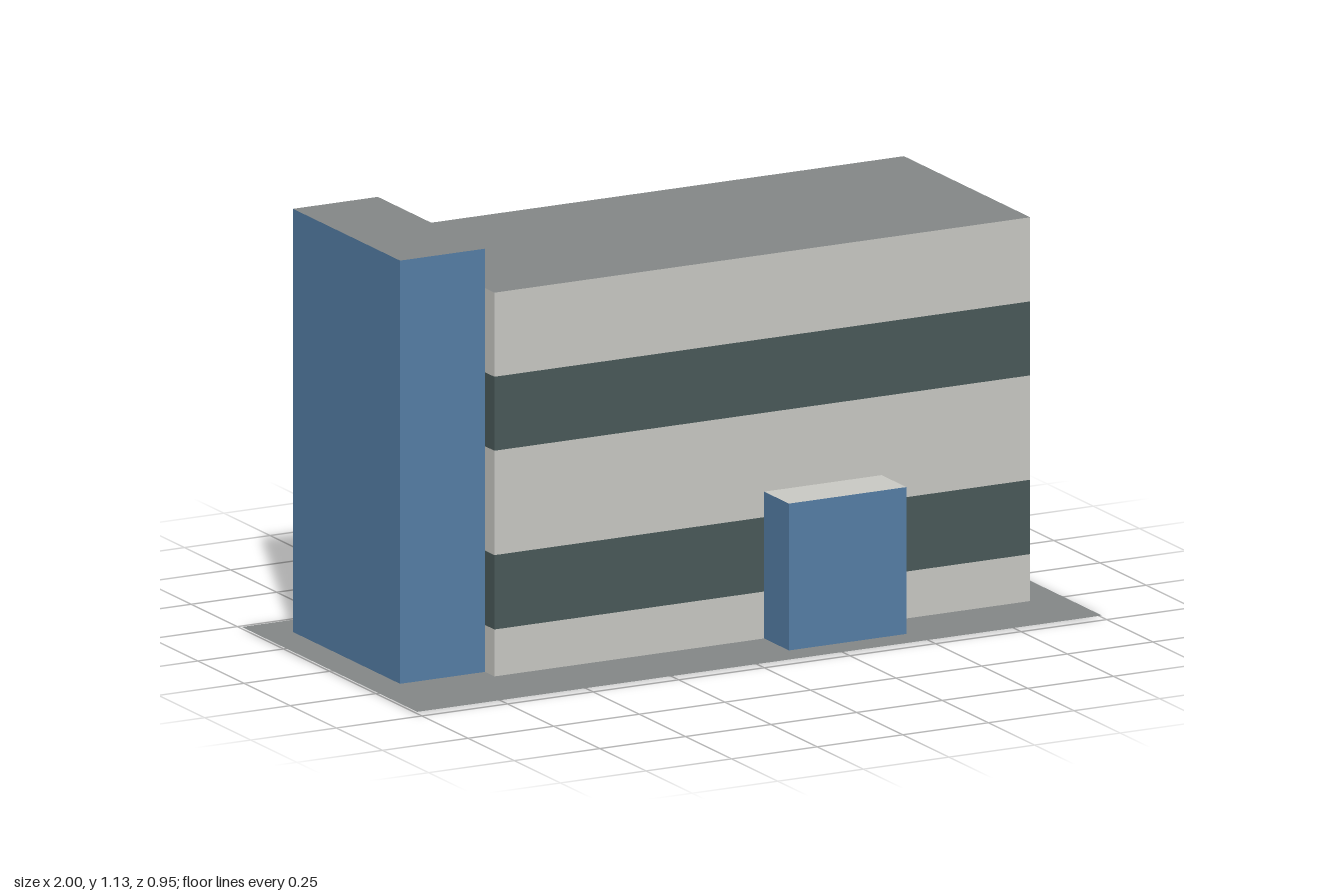
import * as THREE from 'three';

const material = (name, color) => {
  const m = new THREE.MeshStandardMaterial({ color, side: THREE.DoubleSide });
  m.name = name;
  return m;
};

// Upright walls along a plan path of [x, z] points
function wallGeometry(path, y0, y1) {
  const positions = [];
  for (let i = 0; i < path.length - 1; i++) {
    const [ax, az] = path[i];
    const [bx, bz] = path[i + 1];
    positions.push(ax, y0, az, bx, y0, bz, bx, y1, bz);
    positions.push(ax, y0, az, bx, y1, bz, ax, y1, az);
  }
  const g = new THREE.BufferGeometry();
  g.setAttribute('position', new THREE.Float32BufferAttribute(positions, 3));
  g.computeVertexNormals();
  return g;
}

// Flat horizontal sheet facing up
function sheetGeometry(x0, x1, z0, z1, y) {
  return new THREE.PlaneGeometry(x1 - x0, z1 - z0)
    .rotateX(-Math.PI / 2)
    .translate((x0 + x1) / 2, y, (z0 + z1) / 2);
}

export function createModel() {
  const model = new THREE.Group();
  model.name = 'officeBuilding';
  const wall = material('pale wall', 0xcacac5);
  const glass = material('dark window band', 0x4a5a5a);
  const blue = material('blue cladding', 0x567fa7);
  const grey = material('grey roof and paving', 0x848888);

  const add = (name, geometry, mat) => {
    const mesh = new THREE.Mesh(geometry, mat);
    mesh.name = name;
    model.add(mesh);
  };

  // Paving, just above the foot of the walls
  add('paving', sheetGeometry(-1, 1, -0.475, 0.475, 0.005), grey);

  // Main block: alternating wall and window bands
  const [x0, x1, z0, z1] = [-0.66, 0.905, -0.422, 0.262];
  const block = [[x0, z1], [x1, z1], [x1, z0], [x0, z0], [x0, z1]];
  const levels = [0, 0.13, 0.328, 0.606, 0.803, 1.027];
  for (let i = 0; i < levels.length - 1; i++) {
    const isGlass = i % 2 === 1;
    add(isGlass ? 'windowBand' : 'wallBand',
      wallGeometry(block, levels[i], levels[i + 1]), isGlass ? glass : wall);
  }
  add('mainRoof', sheetGeometry(x0, x1, z0, z1, 1.027), grey);

  // Stair tower, open toward the main block
  add('towerWalls', wallGeometry(
    [[x0, -0.369], [-0.908, -0.369], [-0.908, 0.211], [x0, 0.211]], 0, 1.132), blue);
  add('towerRoof', sheetGeometry(-0.908, x0, -0.369, 0.211, 1.132), grey);

  // Entrance porch against the front wall
  add('porchWalls', wallGeometry(
    [[0.128, z1], [0.128, 0.396], [0.471, 0.396], [0.471, z1]], 0, 0.396), blue);
  add('porchRoof', sheetGeometry(0.128, 0.471, z1, 0.396, 0.396), wall);

  return model;
}
